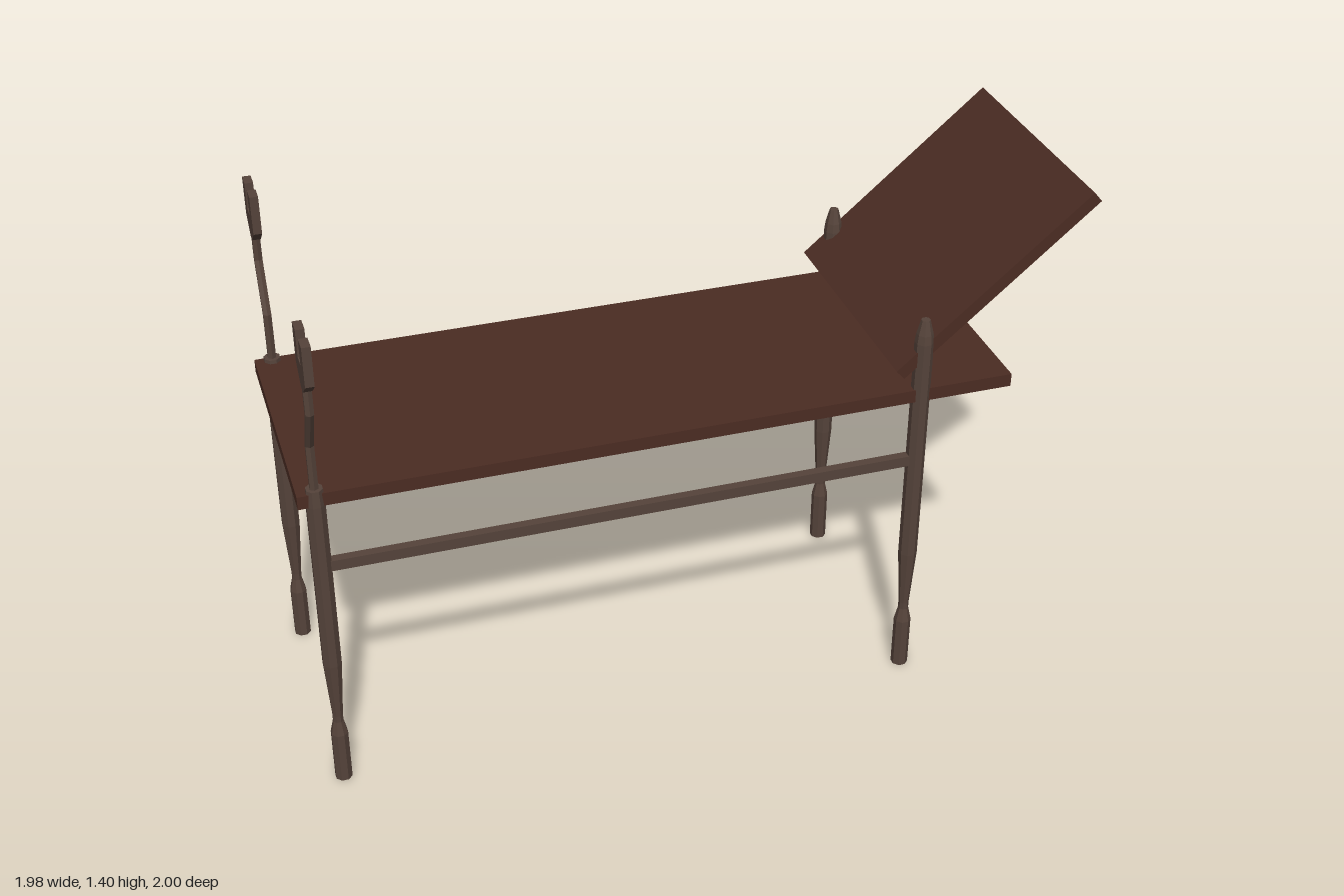
import * as THREE from 'three';

const boardMat = new THREE.MeshStandardMaterial({ color: 0x4b2c23, flatShading: true });
const postMat = new THREE.MeshStandardMaterial({ color: 0x55433a, flatShading: true });

const LEG_V = 0.316, FOOT_X = -0.956, HEAD_X = 0.615;

function add(parent, name, geometry, material, x = 0, y = 0, z = 0) {
  const mesh = new THREE.Mesh(geometry, material);
  mesh.name = name;
  mesh.position.set(x, y, z);
  parent.add(mesh);
  return mesh;
}

// Eight-sided turned leg; the upper part of the profile differs per end
function legGeometry(top) {
  const profile = [[0, 0], [0.023, 0], [0.023, 0.15], [0.014, 0.19], [0.014, 0.21], [0.025, 0.38], ...top];
  const points = profile.map(([r, y]) => new THREE.Vector2(r, y));
  return new THREE.LatheGeometry(points, 8, Math.PI / 8);
}

// Straight six-sided rod between two points
function rod(parent, name, a, b, radius) {
  const from = new THREE.Vector3(...a), to = new THREE.Vector3(...b);
  const dir = to.clone().sub(from);
  const mesh = add(parent, name, new THREE.CylinderGeometry(radius, radius, dir.length(), 6), postMat);
  mesh.position.copy(from).add(to).multiplyScalar(0.5);
  mesh.quaternion.setFromUnitVectors(new THREE.Vector3(0, 1, 0), dir.normalize());
}

// Flat two-pronged fork, drawn in a plane across the table
function forkGeometry() {
  const outline = [
    [-0.014, 1.235], [0.014, 1.235], [0.062, 1.275], [0.062, 1.38], [0.02, 1.38],
    [0.02, 1.31], [-0.02, 1.31], [-0.02, 1.38], [-0.062, 1.38], [-0.062, 1.275],
  ];
  const shape = new THREE.Shape(outline.map(([x, y]) => new THREE.Vector2(x, y)));
  const geometry = new THREE.ExtrudeGeometry(shape, { depth: 0.022, bevelEnabled: false });
  geometry.translate(0, 0, -0.011);
  geometry.rotateY(Math.PI / 2);
  return geometry;
}

export function createModel() {
  const root = new THREE.Group();
  root.name = 'recliningTable';

  // The table runs along local x and stands diagonally
  const table = new THREE.Group();
  table.name = 'table';
  table.rotation.y = 0.793;
  root.add(table);

  // Boards
  add(table, 'tableTop', new THREE.BoxGeometry(1.866, 0.036, 0.66), boardMat, -0.068, 0.887, 0);
  const rest = add(table, 'headRest', new THREE.BoxGeometry(0.664, 0.034, 0.664), boardMat, 0.803, 1.173, -0.004);
  rest.rotation.z = 0.705;

  const footLeg = legGeometry([[0.025, 0.87], [0.022, 0.915], [0, 0.915]]);
  const headLeg = legGeometry([[0.025, 1.04], [0.022, 1.065], [0.012, 1.105], [0, 1.105]]);
  const fork = forkGeometry();

  for (const side of [-1, 1]) {
    const z = side * LEG_V;

    // Legs and the rail joining them
    add(table, 'footLeg', footLeg, postMat, FOOT_X, 0, z);
    add(table, 'headLeg', headLeg, postMat, HEAD_X, 0, z);
    add(table, 'sideRail', new THREE.BoxGeometry(HEAD_X - FOOT_X, 0.03, 0.024), postMat,
      (HEAD_X + FOOT_X) / 2, 0.685, z);

    // Cranked rod carrying the fork
    const holder = new THREE.Group();
    holder.name = 'forkHolder';
    holder.position.set(FOOT_X, 0, z);
    table.add(holder);
    const out = side * 0.066;
    rod(holder, 'lowerRod', [0, 0.9, 0], [0, 1.045, 0], 0.012);
    rod(holder, 'crankedRod', [0, 1.04, 0], [0, 1.17, out], 0.012);
    rod(holder, 'upperRod', [0, 1.165, out], [0, 1.245, out], 0.012);
    add(holder, 'fork', fork, postMat, 0, 0, out);
  }
  return root;
}
